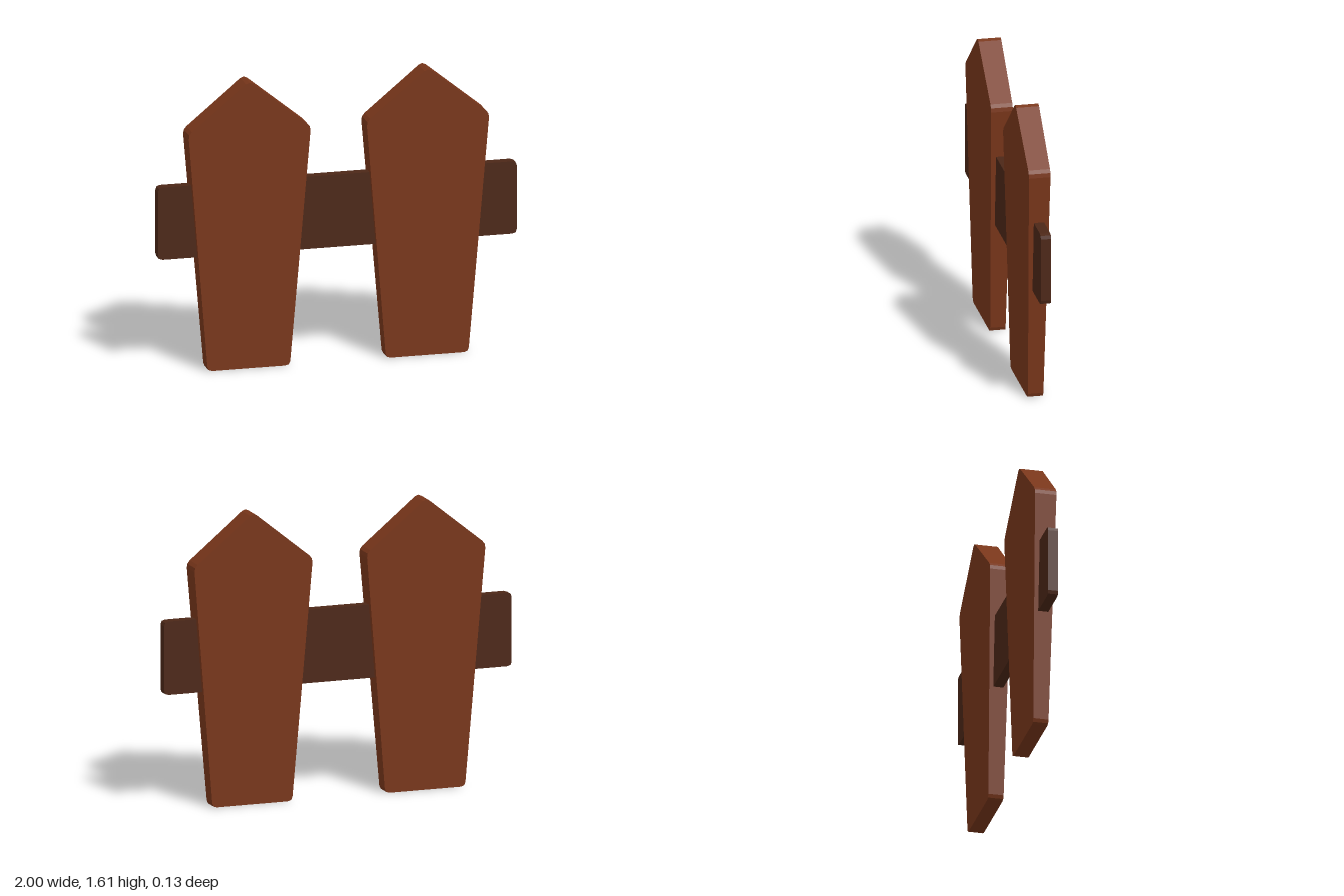
import * as THREE from 'three';

// Outline whose corners are eased by a short curve of radius r
function roundedOutline(corners, r) {
  const pts = corners.map(([x, y]) => new THREE.Vector2(x, y));
  const shape = new THREE.Shape();
  pts.forEach((p, i) => {
    const prev = pts[(i + pts.length - 1) % pts.length];
    const next = pts[(i + 1) % pts.length];
    const a = p.clone().add(prev.clone().sub(p).setLength(r));
    const b = p.clone().add(next.clone().sub(p).setLength(r));
    if (i === 0) shape.moveTo(a.x, a.y);
    else shape.lineTo(a.x, a.y);
    shape.quadraticCurveTo(p.x, p.y, b.x, b.y);
  });
  shape.closePath();
  return shape;
}

// Board of the given outline, centred on z = 0, half as thick as halfDepth(y) at each height
function board(name, corners, halfDepth, color) {
  const geometry = new THREE.ExtrudeGeometry(roundedOutline(corners, 0.025), {
    depth: 1, bevelEnabled: false, curveSegments: 2,
  });
  const pos = geometry.attributes.position;
  for (let i = 0; i < pos.count; i++) {
    pos.setZ(i, (pos.getZ(i) * 2 - 1) * halfDepth(pos.getY(i)));
  }
  geometry.computeVertexNormals();
  const mesh = new THREE.Mesh(geometry, new THREE.MeshStandardMaterial({ color, flatShading: true }));
  mesh.name = name;
  return mesh;
}

export function createModel() {
  const group = new THREE.Group();
  group.name = 'picketFence';

  // Two pointed pickets, wider and thicker towards the top
  const picket = [[-0.23, 0], [0.23, 0], [0.342, 1.337], [0, 1.615], [-0.342, 1.337]];
  for (const [name, x] of [['leftPicket', 0.497], ['rightPicket', -0.497]]) {
    const mesh = board(name, picket, (y) => 0.042 + 0.0132 * y, 0x78361a);
    mesh.position.x = x;
    group.add(mesh);
  }

  // Cross rail running through both pickets
  const rail = [[-1, 0.64], [1, 0.64], [1, 1.045], [-1, 1.045]];
  group.add(board('crossRail', rail, () => 0.028, 0x4c2717));

  return group;
}
